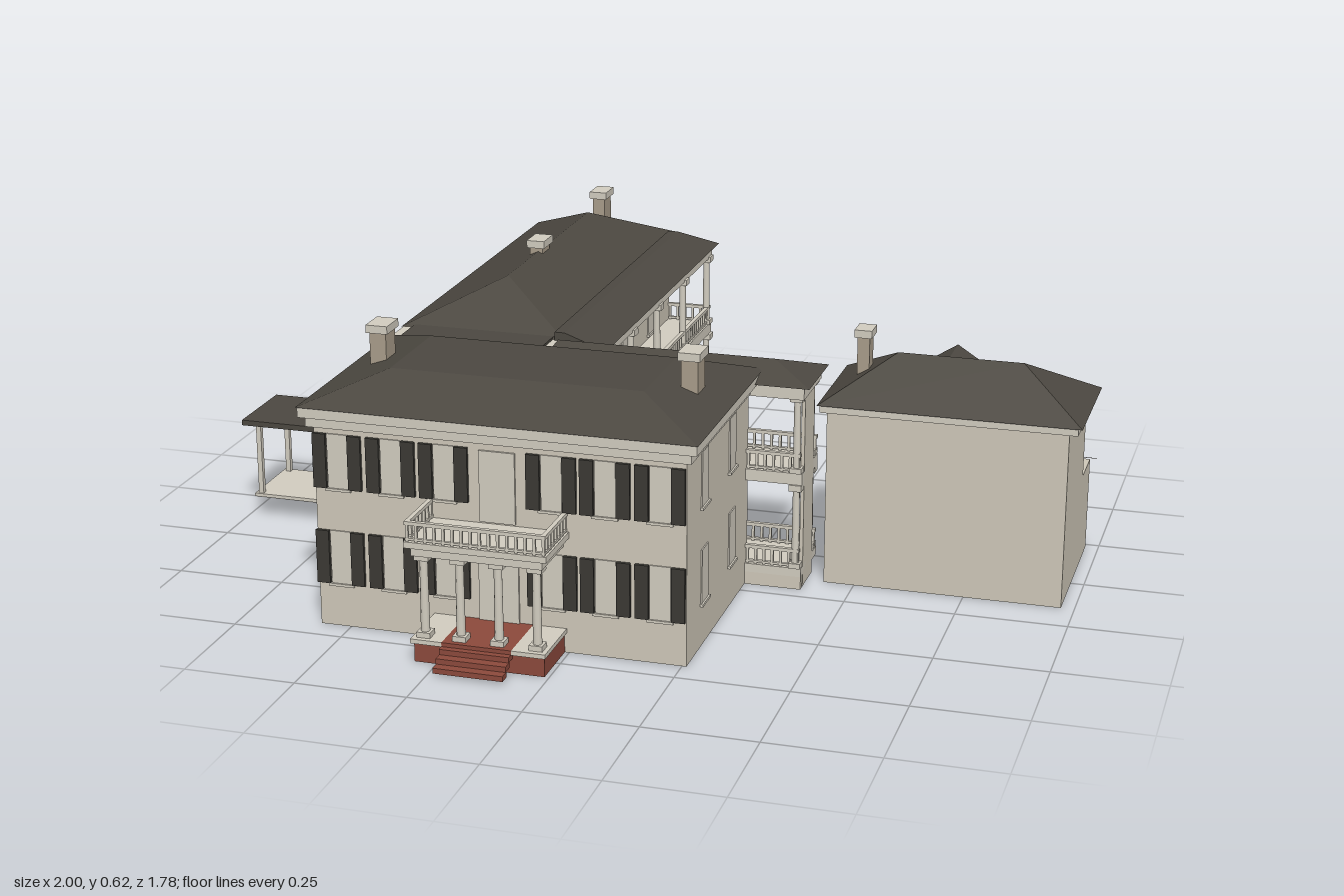
import * as THREE from 'three';
import { mergeGeometries } from 'three/addons/utils/BufferGeometryUtils.js';

const mat = (name, color, side = THREE.FrontSide) => {
  const m = new THREE.MeshStandardMaterial({ color, side });
  m.name = name;
  return m;
};

export function createModel() {
  const group = new THREE.Group();
  const wall = mat('cream wall', 0xcfc8b9, THREE.DoubleSide);
  const trim = mat('pale trim', 0xd2cdc0);
  const roofMat = mat('dark slate roof', 0x4c4841, THREE.DoubleSide);
  const shutterMat = mat('charcoal shutter', 0x3b3934);
  const brick = mat('red brick', 0x8c4a3c);
  const stone = mat('chimney stone', 0xa99d8a);
  const glass = mat('navy glass', 0x1b2a38);

  const add = (name, geos, material) => {
    const list = [].concat(geos);
    const mesh = new THREE.Mesh(list.length > 1 ? mergeGeometries(list) : list[0], material);
    mesh.name = name;
    group.add(mesh);
    return mesh;
  };
  // box given by its limits on each axis
  const box = (x0, x1, y0, y1, z0, z1) =>
    new THREE.BoxGeometry(x1 - x0, y1 - y0, z1 - z0).translate((x0 + x1) / 2, (y0 + y1) / 2, (z0 + z1) / 2);
  // box without its underside
  const shell = (...b) => {
    const g = box(...b);
    const i = Array.from(g.index.array);
    g.setIndex([...i.slice(0, 18), ...i.slice(24)]);
    return g;
  };
  // sloped roof from an eave rectangle up to a top rectangle, each [x0, x1, z0, z1]
  const hip = (b, y0, t, y1) => {
    const ring = ([x0, x1, z0, z1], y) => [[x0, y, z1], [x1, y, z1], [x1, y, z0], [x0, y, z0]];
    const lo = ring(b, y0), hi = ring(t, y1), p = [];
    const quad = (a, c, d, e) => p.push(...a, ...c, ...d, ...a, ...d, ...e);
    for (let i = 0; i < 4; i++) quad(lo[i], lo[(i + 1) % 4], hi[(i + 1) % 4], hi[i]);
    quad(...hi);
    quad(lo[3], lo[2], lo[1], lo[0]);
    const g = new THREE.BufferGeometry();
    g.setAttribute('position', new THREE.Float32BufferAttribute(p, 3));
    g.computeVertexNormals();
    return g;
  };
  const column = (x, z, y0, y1, r = 0.009) => [
    new THREE.CylinderGeometry(r * 0.85, r, y1 - y0, 10).translate(x, (y0 + y1) / 2, z),
    box(x - r * 1.5, x + r * 1.5, y0, y0 + 0.012, z - r * 1.5, z + r * 1.5),
    box(x - r * 1.6, x + r * 1.6, y1 - 0.015, y1, z - r * 1.6, z + r * 1.6),
  ];
  // balustrade along a straight axis-aligned line
  const railing = (x0, z0, x1, z1, y, h = 0.045) => {
    const bar = (ya, yb, w) => box(Math.min(x0, x1) - w, Math.max(x0, x1) + w, ya, yb, Math.min(z0, z1) - w, Math.max(z0, z1) + w);
    const out = [bar(y + h - 0.008, y + h, 0.005), bar(y + 0.003, y + 0.008, 0.004)];
    const n = Math.max(2, Math.round(Math.hypot(x1 - x0, z1 - z0) / 0.02));
    for (let i = 0; i <= n; i++) {
      const x = x0 + (x1 - x0) * i / n, z = z0 + (z1 - z0) * i / n;
      out.push(box(x - 0.003, x + 0.003, y, y + h - 0.004, z - 0.003, z + 0.003));
    }
    return out;
  };

  // main house and rear wing
  add('mainWalls', shell(-0.57, 0.26, 0, 0.485, 0.19, 0.69), wall);
  add('wingWalls', shell(-0.57, -0.23, 0, 0.485, -0.86, 0.19), wall);
  add('mainCornice', [box(-0.583, 0.273, 0.458, 0.48, 0.18, 0.703), box(-0.597, 0.287, 0.48, 0.502, 0.17, 0.712)], trim);
  add('wingCornice', [box(-0.583, -0.217, 0.458, 0.48, -0.873, 0.17), box(-0.597, -0.203, 0.48, 0.502, -0.887, 0.17)], trim);
  add('mainRoof', hip([-0.6, 0.29, 0.17, 0.715], 0.503, [-0.44, 0.13, 0.32, 0.565], 0.56), roofMat);
  add('wingRoof', hip([-0.6, -0.2, -0.89, 0.1], 0.503, [-0.401, -0.399, -0.7, -0.085], 0.592), roofMat);
  add('roofValley', box(-0.57, -0.23, 0.5, 0.508, 0.08, 0.19), roofMat);

  // windows: pale plate outside, dark glass inside; axis tells the wall direction
  const panes = [], glasses = [], shutters = [];
  const rows = [[0.1, 0.222], [0.32, 0.443]];
  const windowOn = (axis, at, out, c, w, y0, y1, inner = true) => {
    const slab = (a, b, half, lo, hi) => {
      const p = at + out * a, q = at + out * b, m = Math.min(p, q), n = Math.max(p, q);
      return axis === 'x' ? box(m, n, lo, hi, c - half, c + half) : box(c - half, c + half, lo, hi, m, n);
    };
    panes.push(slab(0, 0.003, w, y0, y1), slab(0, 0.007, w + 0.006, y0 - 0.006, y0));
    if (inner) glasses.push(slab(-0.005, -0.001, w, y0, y1));
  };
  for (const [y0, y1] of rows) {
    for (const x of [-0.517, -0.395, -0.275, -0.035, 0.083, 0.203]) {
      windowOn('z', 0.69, 1, x, 0.023, y0, y1);
      for (const s of [-1, 1]) shutters.push(box(x + s * 0.04 - 0.015, x + s * 0.04 + 0.015, y0, y1, 0.69, 0.698));
    }
    for (const z of [0.555, 0.33]) windowOn('x', 0.26, 1, z, 0.025, y0, y1);
    for (const z of [0.555, 0.33, 0.06, -0.19, -0.44, -0.68]) windowOn('x', -0.57, -1, z, 0.025, y0, y1);
    for (const z of [-0.2, -0.465, -0.69]) windowOn('x', -0.23, 1, z, 0.026, y0 - 0.03, y1);
    windowOn('z', -0.86, -1, -0.4, 0.026, y0, y1);
    for (const x of [0, 0.16]) windowOn('z', 0.19, -1, x, 0.025, y0, y1);
  }
  add('windowPanes', panes, trim);
  add('windowGlass', glasses, glass);
  add('shutters', shutters, shutterMat);

  // entrance doors on both floors
  add('doors', [box(-0.2, -0.11, 0.055, 0.22, 0.69, 0.695), box(-0.195, -0.115, 0.28, 0.44, 0.69, 0.695)], trim);
  add('doorBacks', [box(-0.2, -0.11, 0.02, 0.23, 0.683, 0.688), box(-0.195, -0.115, 0.28, 0.44, 0.683, 0.688)], shutterMat);

  // front porch with balcony
  add('porchBase', box(-0.3, -0.01, 0, 0.045, 0.69, 0.825), brick);
  add('porchFloor', box(-0.235, -0.08, 0.045, 0.055, 0.69, 0.835), brick);
  add('porchFloorEdge', [box(-0.305, -0.235, 0.045, 0.055, 0.69, 0.835), box(-0.08, -0.005, 0.045, 0.055, 0.69, 0.835)], trim);
  const steps = [];
  for (let i = 0; i < 3; i++) steps.push(box(-0.235, -0.08, 0.034 - i * 0.013, 0.046 - i * 0.013, 0.825 + i * 0.02, 0.85 + i * 0.02));
  add('frontSteps', steps, brick);
  add('porchColumns', [-0.28, -0.2, -0.115, -0.03].flatMap(x => column(x, 0.808, 0.055, 0.245, 0.01)), trim);
  add('balconyDeck', [box(-0.3, -0.01, 0.242, 0.262, 0.69, 0.83), box(-0.312, 0.002, 0.262, 0.276, 0.69, 0.84)], trim);
  add('balconyRailing', [...railing(-0.305, 0.833, -0.005, 0.833, 0.276), ...railing(-0.305, 0.695, -0.305, 0.833, 0.276),
    ...railing(-0.005, 0.695, -0.005, 0.833, 0.276)], trim);

  // two-storey gallery along the wing and behind the main house
  const decks = [], rails = [], posts = [];
  for (const [y0, y1, top] of [[0.03, 0.05, 0.25], [0.25, 0.277, 0.46]]) {
    decks.push(box(-0.23, -0.115, y0, y1, -0.86, 0.19), box(-0.115, 0.39, y0, y1, 0.06, 0.19), box(0.26, 0.39, y0, y1, 0.19, 0.21));
    rails.push(...railing(-0.122, -0.855, -0.122, 0.06, y1), ...railing(-0.122, 0.067, 0.385, 0.067, y1),
      ...railing(-0.225, -0.855, -0.122, -0.855, y1), ...railing(0.265, 0.203, 0.38, 0.203, y1));
    for (const z of [-0.845, -0.62, -0.39, -0.17, 0.067]) posts.push(...column(-0.124, z, y1, top));
    for (const x of [0.05, 0.21, 0.375]) posts.push(...column(x, 0.069, y1, top));
    posts.push(...column(0.375, 0.2, y1, top));
  }
  decks.push(box(-0.23, -0.115, 0.455, 0.485, -0.865, 0.19), box(-0.115, 0.395, 0.455, 0.485, 0.058, 0.19),
    box(0.26, 0.395, 0.455, 0.485, 0.19, 0.225));
  add('galleryDecks', decks, trim);
  add('galleryRailings', rails, trim);
  add('galleryColumns', posts, trim);
  add('galleryEndWall', [box(0.382, 0.39, 0, 0.46, 0.1, 0.19), box(0.26, 0.39, 0, 0.03, 0.195, 0.21)], wall);
  add('galleryRoof', [hip([-0.225, -0.1, -0.88, 0.1], 0.486, [-0.224, -0.2, -0.835, 0.1], 0.522),
    hip([-0.22, 0.41, 0.05, 0.24], 0.486, [-0.2, 0.31, 0.144, 0.146], 0.519)], roofMat);

  // open side porch
  add('sidePorchRoof', box(-1, -0.57, 0.234, 0.247, -0.06, 0.14), roofMat);
  add('sidePorchFloor', box(-0.98, -0.57, 0.052, 0.06, -0.05, 0.13), trim);
  add('sidePorchPosts', [-0.965, -0.77].flatMap(x => [-0.04, 0.12].map(z => box(x - 0.006, x + 0.006, 0.06, 0.234, z - 0.006, z + 0.006))), trim);

  // outbuilding, lean-to and long shed
  add('outbuildingWalls', box(0.43, 0.97, 0, 0.42, -0.12, 0.15), wall);
  add('outbuildingCornice', box(0.415, 0.99, 0.408, 0.425, -0.135, 0.16), trim);
  add('outbuildingRoof', hip([0.41, 1, -0.14, 0.168], 0.426, [0.56, 0.845, 0.013, 0.015], 0.517), roofMat);
  add('leanToWalls', box(0.43, 0.97, 0, 0.218, -0.236, -0.12), wall);
  const sheet = new THREE.PlaneGeometry(0.575, Math.hypot(0.13, 0.045));
  sheet.rotateX(-Math.PI / 2 - Math.atan2(0.045, 0.13) * -1 + 0).rotateY(Math.PI).translate(0.703, 0.239, -0.186);
  add('leanToRoof', sheet, roofMat);
  const gable = new THREE.Shape([[0.432, 0], [0.663, 0], [0.663, 0.2], [0.548, 0.272], [0.432, 0.2]].map(p => new THREE.Vector2(...p)));
  add('shedWalls', new THREE.ExtrudeGeometry(gable, { depth: 0.594, bevelEnabled: false }).translate(0, 0, -0.832), wall);
  add('shedRoof', hip([0.42, 0.675, -0.83, -0.25], 0.2, [0.547, 0.549, -0.83, -0.25], 0.281), roofMat);

  // chimneys: [x, z, half width, half depth, base, top]
  const shafts = [], caps = [];
  for (const [x, z, w, d, y0, y1] of [[-0.51, 0.435, 0.019, 0.027, 0.5, 0.62], [0.2, 0.435, 0.019, 0.027, 0.5, 0.62],
    [-0.405, -0.833, 0.016, 0.027, 0.5, 0.62], [-0.405, -0.332, 0.016, 0.027, 0.55, 0.62], [0.485, 0.016, 0.014, 0.02, 0.42, 0.57]]) {
    shafts.push(box(x - w, x + w, y0, y1 - 0.018, z - d, z + d));
    caps.push(box(x - w - 0.006, x + w + 0.006, y1 - 0.018, y1, z - d - 0.007, z + d + 0.007));
  }
  add('chimneyShafts', shafts, stone);
  add('chimneyCaps', caps, trim);
  return group;
}
